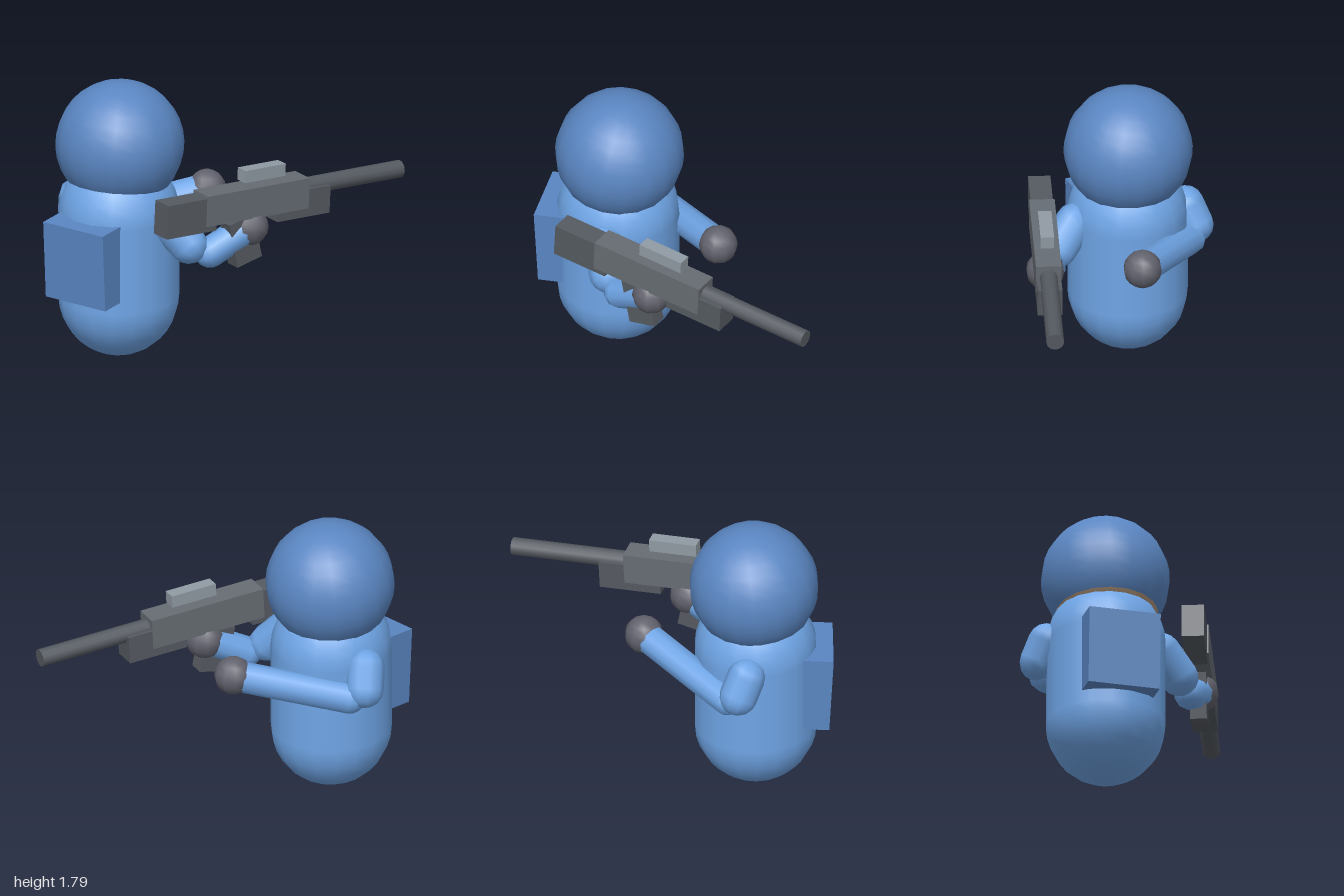
import * as THREE from 'three';

const mat = (color, extra = {}) => new THREE.MeshStandardMaterial({ color, ...extra });
const suit = mat(0x6fa5e6);
const armour = mat(0x5a86c2);
const armourShell = mat(0x5a86c2, { side: THREE.DoubleSide });
const skin = mat(0xb59a80);
const glove = mat(0x62626e);
const darkMetal = mat(0x555a61);
const metal = mat(0x666c73);
const lightMetal = mat(0x909aa3);

function add(parent, name, geometry, material, position) {
  const mesh = new THREE.Mesh(geometry, material);
  mesh.name = name;
  mesh.position.set(...position);
  parent.add(mesh);
  return mesh;
}

// Capsule whose round ends are centred on the points a and b
function limb(parent, name, a, b, radius) {
  const from = new THREE.Vector3(...a);
  const dir = new THREE.Vector3(...b).sub(from);
  const mid = from.clone().addScaledVector(dir, 0.5);
  const geometry = new THREE.CapsuleGeometry(radius, dir.length(), 4, 10);
  const mesh = add(parent, name, geometry, suit, mid.toArray());
  mesh.quaternion.setFromUnitVectors(new THREE.Vector3(0, 1, 0), dir.normalize());
}

function arm(name, shoulder, upperEnd, elbow, hand) {
  const group = new THREE.Group();
  group.name = name;
  limb(group, 'upperArm', shoulder, upperEnd, 0.12);
  limb(group, 'forearm', elbow, hand, 0.098);
  add(group, 'hand', new THREE.SphereGeometry(0.122, 10, 8), glove, hand);
  return group;
}

// Rifle built along local -z, with the rear of the stock at the origin
function rifle() {
  const gun = new THREE.Group();
  gun.name = 'rifle';
  const block = (name, w, h, start, end, y, material) =>
    add(gun, name, new THREE.BoxGeometry(w, h, end - start), material, [0, y, -(start + end) / 2]);
  block('stock', 0.14, 0.22, 0, 0.38, 0, darkMetal);
  block('receiver', 0.16, 0.2, 0.3, 1.08, 0.028, metal);
  block('foregrip', 0.155, 0.18, 0.845, 1.245, -0.036, darkMetal);
  block('scope', 0.085, 0.08, 0.607, 0.915, 0.198, lightMetal);
  const grip = block('grip', 0.105, 0.3, 0.53, 0.72, -0.222, darkMetal);
  grip.rotation.x = 0.26;
  const barrel = add(gun, 'barrel', new THREE.CylinderGeometry(0.056, 0.056, 0.83, 12), darkMetal, [0, 0.048, -1.415]);
  barrel.rotation.x = Math.PI / 2;
  gun.position.set(0.197, 1.058, 0.752);
  gun.rotation.set(-0.054, -0.321, 0, 'YXZ');
  return gun;
}

export function createModel() {
  const model = new THREE.Group();
  model.name = 'figure';

  // Rounded torso without legs
  const body = add(model, 'body', new THREE.CapsuleGeometry(0.385, 0.55, 8, 18), suit, [-0.303, 0.66, 0.515]);
  body.scale.x = 0.975;

  // Head inside a helmet tilted slightly forward
  const headCentre = [-0.303, 1.386, 0.505];
  add(model, 'head', new THREE.SphereGeometry(0.386, 18, 14), skin, headCentre);
  const helmet = add(model, 'helmet',
    new THREE.SphereGeometry(0.405, 18, 12, 0, Math.PI * 2, 0, 2.22), armourShell, headCentre);
  helmet.rotation.x = -0.12;

  // Pack on the back
  const pack = add(model, 'backpack', new THREE.BoxGeometry(0.46, 0.505, 0.3), armour, [-0.305, 0.715, 0.836]);
  pack.rotation.x = 0.055;

  // One arm holds the grip, the other reaches forward
  model.add(arm('gripArm', [0.06, 0.94, 0.5], [0.19, 0.8, 0.45], [0.28, 0.74, 0.35], [0.41, 0.87, 0.11]));
  model.add(arm('reachingArm', [-0.67, 0.94, 0.45], [-0.71, 0.82, 0.4], [-0.65, 0.76, 0.33], [-0.13, 0.92, -0.18]));

  model.add(rifle());
  return model;
}
